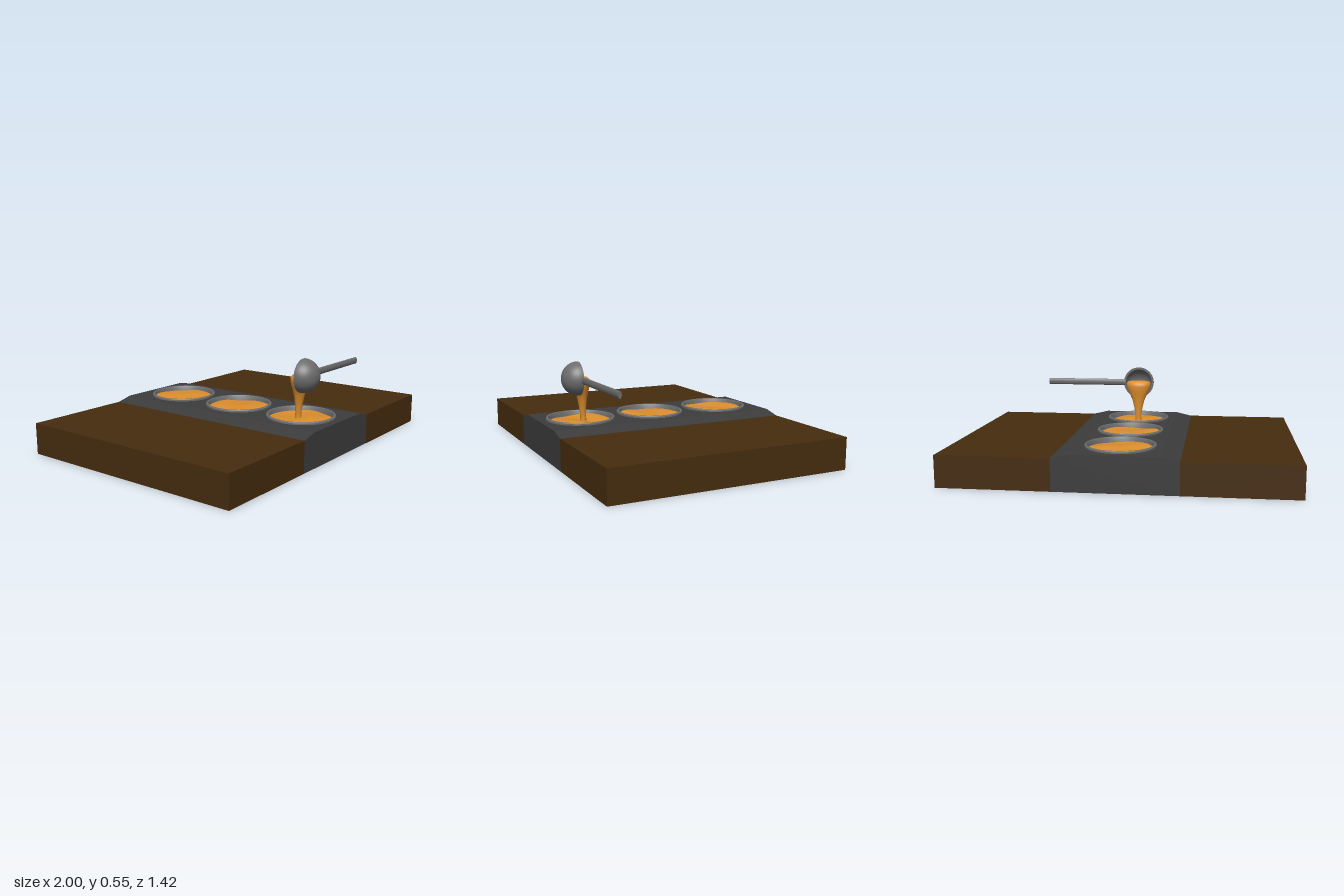
import * as THREE from 'three';
import { toCreasedNormals } from 'three/addons/utils/BufferGeometryUtils.js';

const mat = (name, color, side = THREE.FrontSide) => {
  const m = new THREE.MeshStandardMaterial({ color, side });
  m.name = name;
  return m;
};

export function createModel() {
  const group = new THREE.Group();
  const wood = mat('dark brown wood', 0x452c0e);
  const stone = mat('dark grey', 0x3c3c3c);
  const steel = mat('steel grey', 0x6c6c6c);
  const batter = mat('orange batter', 0xdc8e2e, THREE.DoubleSide);

  const add = (name, geometry, material, x = 0, y = 0, z = 0) => {
    const mesh = new THREE.Mesh(geometry, material);
    mesh.name = name;
    mesh.position.set(x, y, z);
    group.add(mesh);
    return mesh;
  };

  const DEPTH = 1.42, DECK = 0.208, PAN_R = 0.205;
  const panZ = [-0.456, 0.002, 0.461];

  // Side slabs
  for (const s of [-1, 1]) {
    add(s > 0 ? 'leftSlab' : 'rightSlab', new THREE.BoxGeometry(0.65, 0.185, DEPTH), wood, s * 0.675, 0.0925, 0);
  }

  // Middle strip: trough with sloping shoulders
  const profile = new THREE.Shape([
    [-0.35, 0], [0.35, 0], [0.35, 0.185], [0.25, DECK], [0.25, 0.15],
    [-0.25, 0.15], [-0.25, DECK], [-0.35, 0.185],
  ].map(([x, y]) => new THREE.Vector2(x, y)));
  add('stripBase', new THREE.ExtrudeGeometry(profile, { depth: DEPTH, bevelEnabled: false }), stone, 0, 0, -DEPTH / 2);

  // Deck with a round well for each pan
  const h = DEPTH / 2;
  const deck = new THREE.Shape([
    [-0.25, -h], [0.25, -h], [0.25, h], [-0.25, h],
  ].map(([x, y]) => new THREE.Vector2(x, y)));
  for (const z of panZ) {
    deck.holes.push(new THREE.Path().absarc(0, -z, 0.198, 0, Math.PI * 2, true));
  }
  const deckGeo = new THREE.ExtrudeGeometry(deck, { depth: DECK - 0.15, bevelEnabled: false, curveSegments: 32 });
  deckGeo.rotateX(-Math.PI / 2);
  add('stripDeck', deckGeo, stone, 0, 0.15, 0);

  // Pan rims and wavy batter pools
  const rim = toCreasedNormals(new THREE.LatheGeometry([
    [PAN_R, 0.2], [PAN_R, 0.217], [0.2, 0.222], [0.192, 0.222], [0.188, 0.217], [0.188, 0.15],
  ].map(([r, y]) => new THREE.Vector2(r, y)), 64), 0.7);
  panZ.forEach((z, i) => {
    add('panRim' + (i + 1), rim, steel, 0, 0, z);
    const pool = new THREE.RingGeometry(0.0005, 0.189, 48, 10);
    pool.rotateX(-Math.PI / 2);
    const p = pool.attributes.position;
    for (let k = 0; k < p.count; k++) {
      const x = p.getX(k), pz = p.getZ(k);
      p.setY(k, 0.006 * Math.sin(17 * x + 2 * i) * Math.cos(15 * pz + i) + 0.003 * Math.sin(30 * pz + 12 * x));
    }
    pool.computeVertexNormals();
    add('batterPool' + (i + 1), pool, batter, 0, 0.194, z);
  });

  // Ladle: hollow half bowl opening to the back
  const R = 0.102, r = 0.088, bowlPts = [];
  for (let i = 0; i <= 16; i++) {
    const a = (i / 16) * Math.PI / 2;
    bowlPts.push(new THREE.Vector2(R * Math.sin(a), -R * Math.cos(a)));
  }
  for (let i = 16; i >= 0; i--) {
    const a = (i / 16) * Math.PI / 2;
    bowlPts.push(new THREE.Vector2(r * Math.sin(a), -r * Math.cos(a)));
  }
  const bowl = toCreasedNormals(new THREE.LatheGeometry(bowlPts, 40), 0.7);
  bowl.rotateX(-Math.PI / 2);
  add('ladleBowl', bowl, steel, 0, 0.45, 0.47);

  // Flattened handle
  const handle = new THREE.CylinderGeometry(0.021, 0.021, 0.53, 24);
  handle.rotateZ(Math.PI / 2);
  handle.scale(1, 1, 0.5);
  add('ladleHandle', handle, steel, 0.357, 0.45, 0.474);

  // Pouring stream lofted from ellipses: [y, centre z, half width, half depth]
  const rings = [
    [0.19, 0.443, 0.022, 0.019], [0.225, 0.443, 0.019, 0.017], [0.28, 0.446, 0.028, 0.021],
    [0.33, 0.448, 0.04, 0.028], [0.36, 0.45, 0.053, 0.034], [0.395, 0.454, 0.069, 0.045],
    [0.425, 0.457, 0.081, 0.051], [0.445, 0.457, 0.082, 0.049], [0.457, 0.457, 0.074, 0.038],
    [0.462, 0.457, 0.05, 0.022], [0.463, 0.457, 0.001, 0.001],
  ];
  const N = 32, pos = [], idx = [];
  rings.forEach(([y, cz, w, d], j) => {
    for (let i = 0; i < N; i++) {
      const a = (i / N) * Math.PI * 2;
      pos.push(w * Math.sin(a), y, cz + d * Math.cos(a));
      if (j < rings.length - 1) {
        const A = j * N + i, B = j * N + (i + 1) % N;
        idx.push(A, B, A + N, B, B + N, A + N);
      }
    }
  });
  const stream = new THREE.BufferGeometry();
  stream.setAttribute('position', new THREE.Float32BufferAttribute(pos, 3));
  stream.setIndex(idx);
  stream.computeVertexNormals();
  add('batterStream', stream, batter);

  return group;
}
